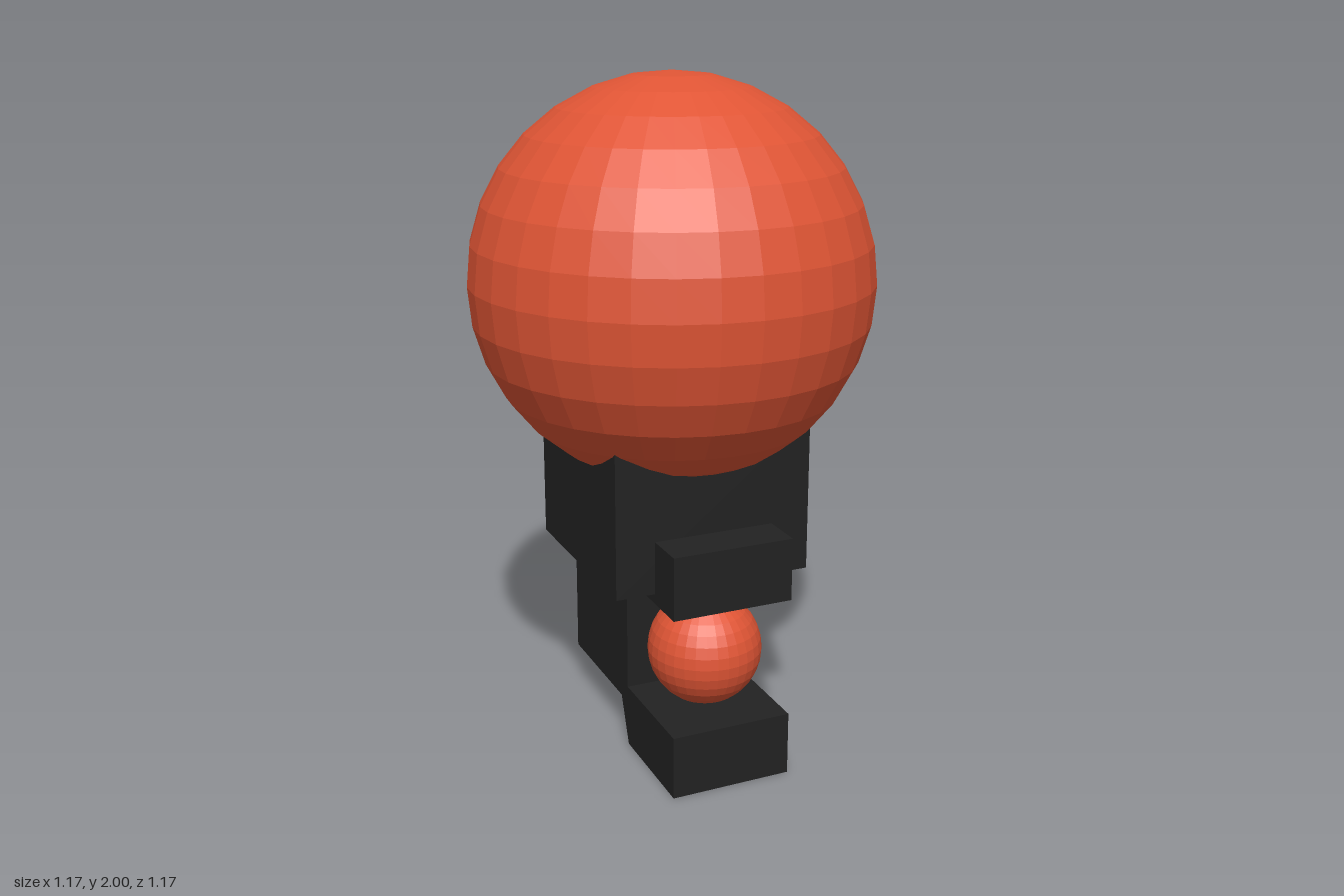
import * as THREE from 'three';

export function createModel() {
  const model = new THREE.Group();
  const red = new THREE.MeshStandardMaterial({ color: 0xe05535, flatShading: true });
  const black = new THREE.MeshStandardMaterial({ color: 0x222222, flatShading: true });

  const add = (name, geometry, material, x = 0, y = 0, z = 0) => {
    const mesh = new THREE.Mesh(geometry, material);
    mesh.name = name;
    mesh.position.set(x, y, z);
    model.add(mesh);
  };

  // Large ball on top and small ball held in the bracket
  add('largeBall', new THREE.SphereGeometry(0.587, 32, 16), red, 0, 1.413, 0);
  add('smallBall', new THREE.SphereGeometry(0.168, 32, 16), red, 0, 0.36, 0.24);

  // Square socket under the large ball, its top buried in the ball
  add('socket', new THREE.BoxGeometry(0.6, 0.47, 0.6), black, 0, 0.815, 0);

  // C-shaped bracket: side profile as (z, y) points, extruded across x
  const profile = new THREE.Shape([
    [-0.35, 0.14], [0.035, 0.14], [0.09, 0], [0.43, 0], [0.43, 0.19], [0.085, 0.19],
    [0.085, 0.55], [0.43, 0.55], [0.43, 0.737], [-0.35, 0.737],
  ].map(([z, y]) => new THREE.Vector2(z, y)));
  const width = 0.365;
  const bracket = new THREE.ExtrudeGeometry(profile, { depth: width, bevelEnabled: false });
  bracket.translate(0, 0, -width / 2).rotateY(-Math.PI / 2);
  add('bracket', bracket, black);

  return model;
}
